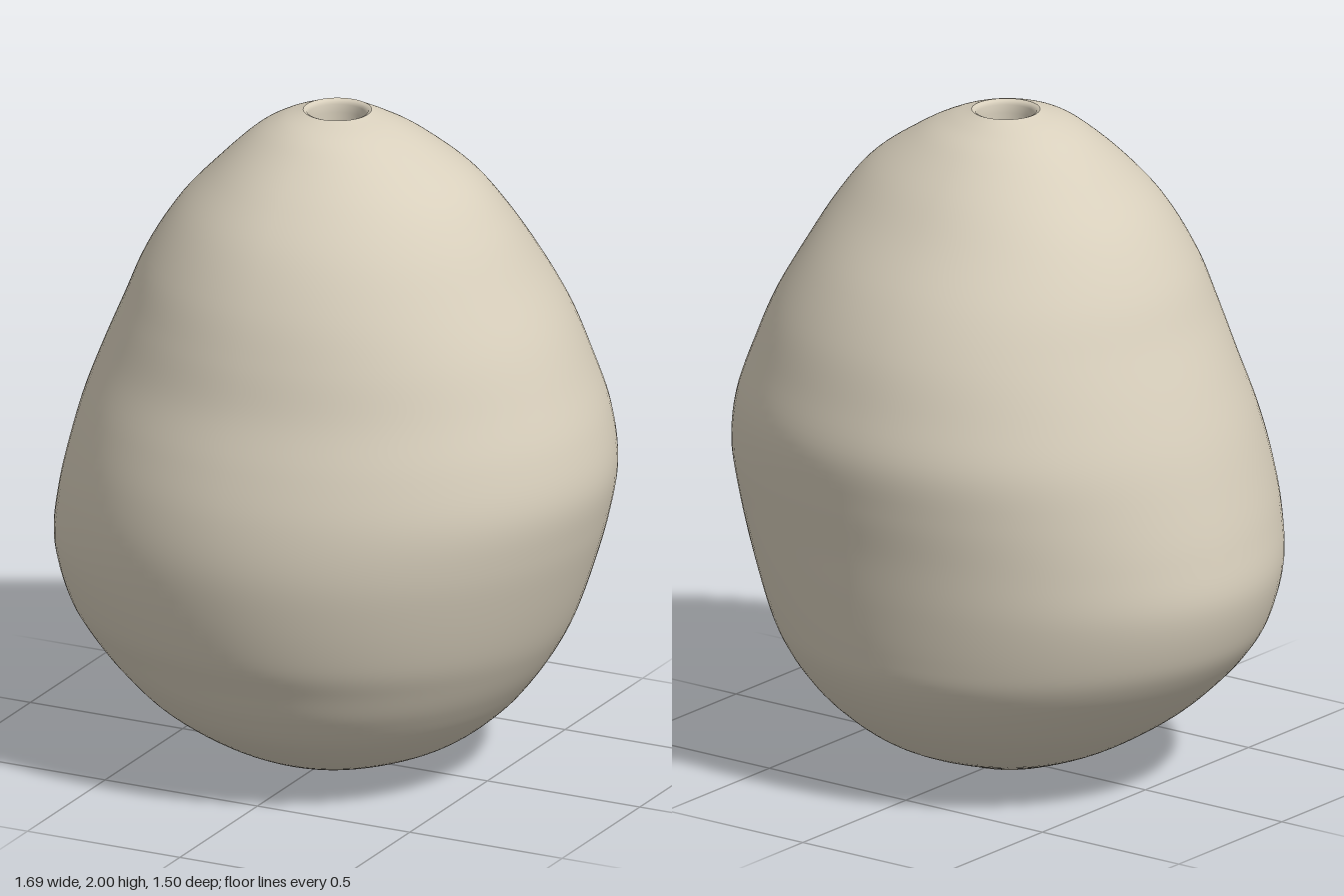
import * as THREE from 'three';

const HOLE_Z = -0.015;
const AROUND = 96;
const UP = 110;

// Cross-sections from bottom to top: height, then reach to +x, -x, +z, -z
const SECTIONS = [
  [0, 0.1, 0.1, 0.085, 0.115],
  [0.03, 0.22, 0.2, 0.22, 0.2],
  [0.1, 0.39, 0.37, 0.38, 0.38],
  [0.2, 0.52, 0.535, 0.525, 0.515],
  [0.3, 0.605, 0.655, 0.605, 0.605],
  [0.4, 0.67, 0.75, 0.655, 0.662],
  [0.5, 0.72, 0.81, 0.7, 0.685],
  [0.65, 0.775, 0.848, 0.735, 0.705],
  [0.8, 0.82, 0.83, 0.75, 0.72],
  [0.95, 0.845, 0.795, 0.735, 0.738],
  [1.1, 0.82, 0.752, 0.695, 0.745],
  [1.25, 0.765, 0.695, 0.643, 0.708],
  [1.4, 0.7, 0.63, 0.603, 0.657],
  [1.55, 0.615, 0.565, 0.55, 0.575],
  [1.7, 0.525, 0.47, 0.468, 0.46],
  [1.82, 0.425, 0.36, 0.365, 0.36],
  [1.92, 0.28, 0.255, 0.25, 0.25],
  [1.97, 0.185, 0.175, 0.175, 0.17],
  [2, 0.1, 0.1, 0.085, 0.115],
];

// Lumpy skin: each ring joins four quarter ellipses around the hole axis
function skinGeometry() {
  const curve = (ix, iz) => new THREE.CatmullRomCurve3(
    SECTIONS.map((s) => new THREE.Vector3(s[ix], s[0], s[iz])), false, 'catmullrom', 0.5);
  const plus = curve(1, 3);
  const minus = curve(2, 4);
  const positions = [];
  const indices = [];
  for (let i = 0; i <= UP; i++) {
    const p = plus.getPoint(i / UP);
    const m = minus.getPoint(i / UP);
    for (let j = 0; j < AROUND; j++) {
      const angle = (j / AROUND) * Math.PI * 2;
      const c = Math.cos(angle);
      const s = Math.sin(angle);
      const x = c * (c > 0 ? p.x : m.x);
      const z = HOLE_Z + s * (s > 0 ? p.z - HOLE_Z : m.z + HOLE_Z);
      positions.push(x, p.y, z);
      if (i < UP) {
        const a = i * AROUND + j;
        const b = i * AROUND + (j + 1) % AROUND;
        indices.push(a, a + AROUND, b, b, a + AROUND, b + AROUND);
      }
    }
  }
  const geometry = new THREE.BufferGeometry();
  geometry.setAttribute('position', new THREE.Float32BufferAttribute(positions, 3));
  geometry.setIndex(indices);
  geometry.computeVertexNormals();
  return geometry;
}

// Bore running top to bottom, with softened rims, facing inward
function boreGeometry() {
  const half = [[0.1, 2], [0.09, 1.996], [0.085, 1.985], [0.084, 1.96]];
  const points = [...half, ...half.map(([r, y]) => [r, 2 - y]).reverse()]
    .map(([r, y]) => new THREE.Vector2(r, y));
  return new THREE.LatheGeometry(points, AROUND);
}

export function createModel() {
  const stone = new THREE.MeshStandardMaterial({ color: 0xd8cfbc });
  stone.name = 'warm stone';

  const bead = new THREE.Group();
  bead.name = 'bead';

  const skin = new THREE.Mesh(skinGeometry(), stone);
  skin.name = 'skin';

  const bore = new THREE.Mesh(boreGeometry(), stone);
  bore.name = 'bore';
  bore.position.z = HOLE_Z;

  bead.add(skin, bore);
  return bead;
}
